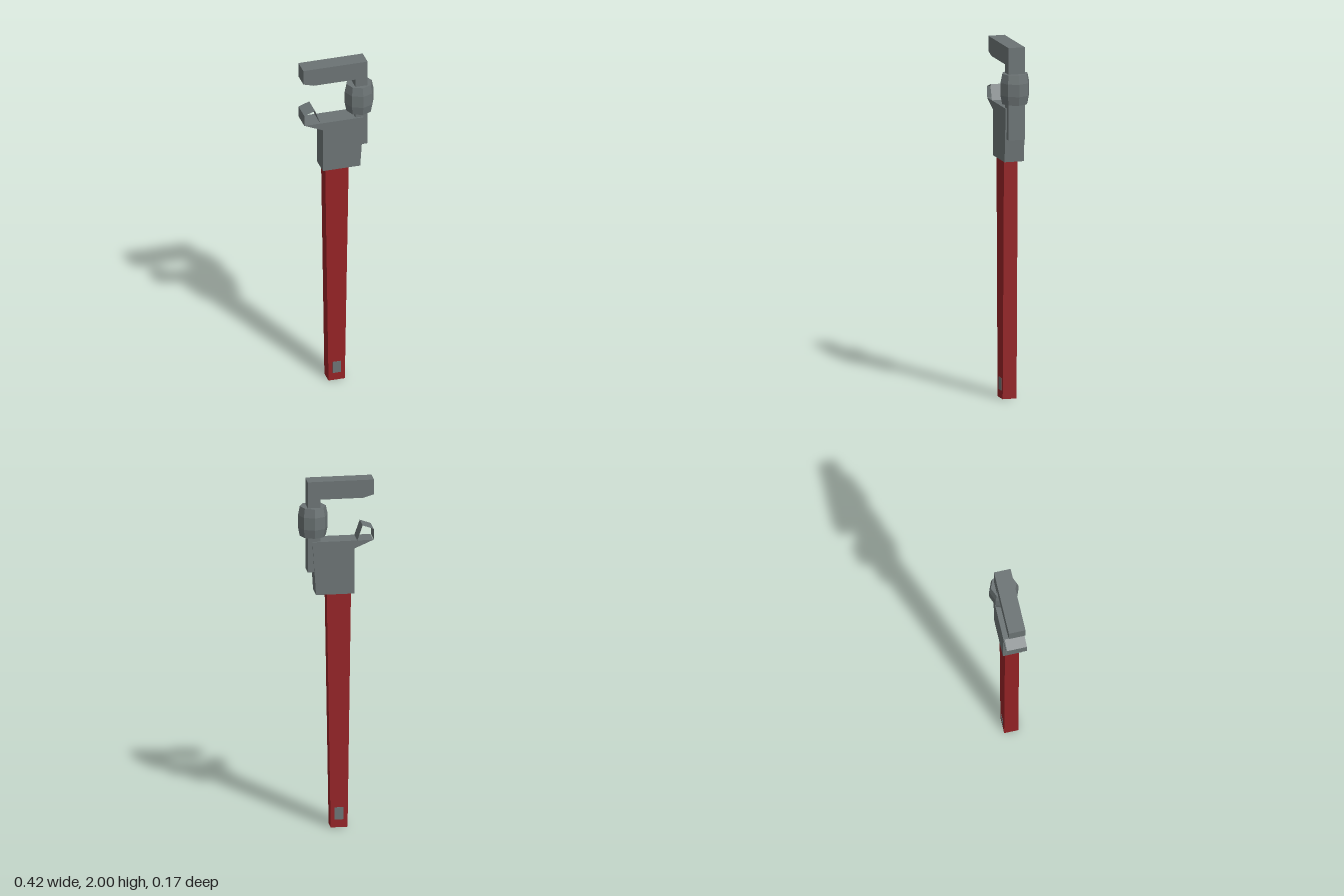
import * as THREE from 'three';

const steel = new THREE.MeshStandardMaterial({ color: 0x6b7374, flatShading: true, side: THREE.DoubleSide });
steel.name = 'grey steel';
const red = new THREE.MeshStandardMaterial({ color: 0x942225, flatShading: true });
red.name = 'red paint';

// Extrudes a front outline, centred on z = 0
function slab(name, points, depth, material) {
  const shape = new THREE.Shape(points.map(([x, y]) => new THREE.Vector2(x, y)));
  const geometry = new THREE.ExtrudeGeometry(shape, { depth, bevelEnabled: false });
  geometry.translate(0, 0, -depth / 2);
  const mesh = new THREE.Mesh(geometry, material);
  mesh.name = name;
  return mesh;
}

// Open strip that sweeps a front profile across z
function strip(name, points, depth, material) {
  const positions = [];
  const h = depth / 2;
  for (let i = 0; i < points.length - 1; i++) {
    const [ax, ay] = points[i];
    const [bx, by] = points[i + 1];
    positions.push(ax, ay, h, bx, by, h, bx, by, -h);
    positions.push(ax, ay, h, bx, by, -h, ax, ay, -h);
  }
  const geometry = new THREE.BufferGeometry();
  geometry.setAttribute('position', new THREE.Float32BufferAttribute(positions, 3));
  geometry.computeVertexNormals();
  const mesh = new THREE.Mesh(geometry, material);
  mesh.name = name;
  return mesh;
}

export function createModel() {
  const wrench = new THREE.Group();
  wrench.name = 'pipeWrench';

  // Tapered handle
  wrench.add(slab('handle', [[-0.063, 0], [0.031, 0], [0.053, 1.35], [-0.082, 1.35]], 0.08, red));

  // Hanging-hole inlay on both faces
  for (const side of [1, -1]) {
    const inlay = new THREE.Mesh(new THREE.BoxGeometry(0.048, 0.07, 0.004), steel);
    inlay.position.set(-0.015, 0.08, side * 0.04);
    inlay.name = side > 0 ? 'frontHandleInlay' : 'backHandleInlay';
    wrench.add(inlay);
  }

  // Fixed lower jaw
  wrench.add(slab('lowerJaw',
    [[-0.1, 1.35], [0.115, 1.35], [0.135, 1.655], [-0.205, 1.655], [-0.1, 1.61]], 0.112, steel));

  // Raised lip on the lower jaw, open at its sides
  wrench.add(strip('lowerJawLip',
    [[-0.115, 1.655], [-0.145, 1.74], [-0.207, 1.718], [-0.207, 1.655]], 0.112, steel));

  // Sliding hook jaw with its shank
  wrench.add(slab('hookJaw', [
    [0.09, 1.48], [0.16, 1.48], [0.16, 2], [-0.21, 2],
    [-0.21, 1.915], [-0.15, 1.897], [0.09, 1.897],
  ], 0.094, steel));

  // Eight-sided adjusting nut
  const profile = [[0, 1.68], [0.073, 1.68], [0.083, 1.73], [0.083, 1.8], [0.073, 1.85], [0, 1.85]];
  const nut = new THREE.Mesh(
    new THREE.LatheGeometry(profile.map(([r, y]) => new THREE.Vector2(r, y)), 8), steel);
  nut.position.x = 0.125;
  nut.name = 'adjustingNut';
  wrench.add(nut);

  return wrench;
}
